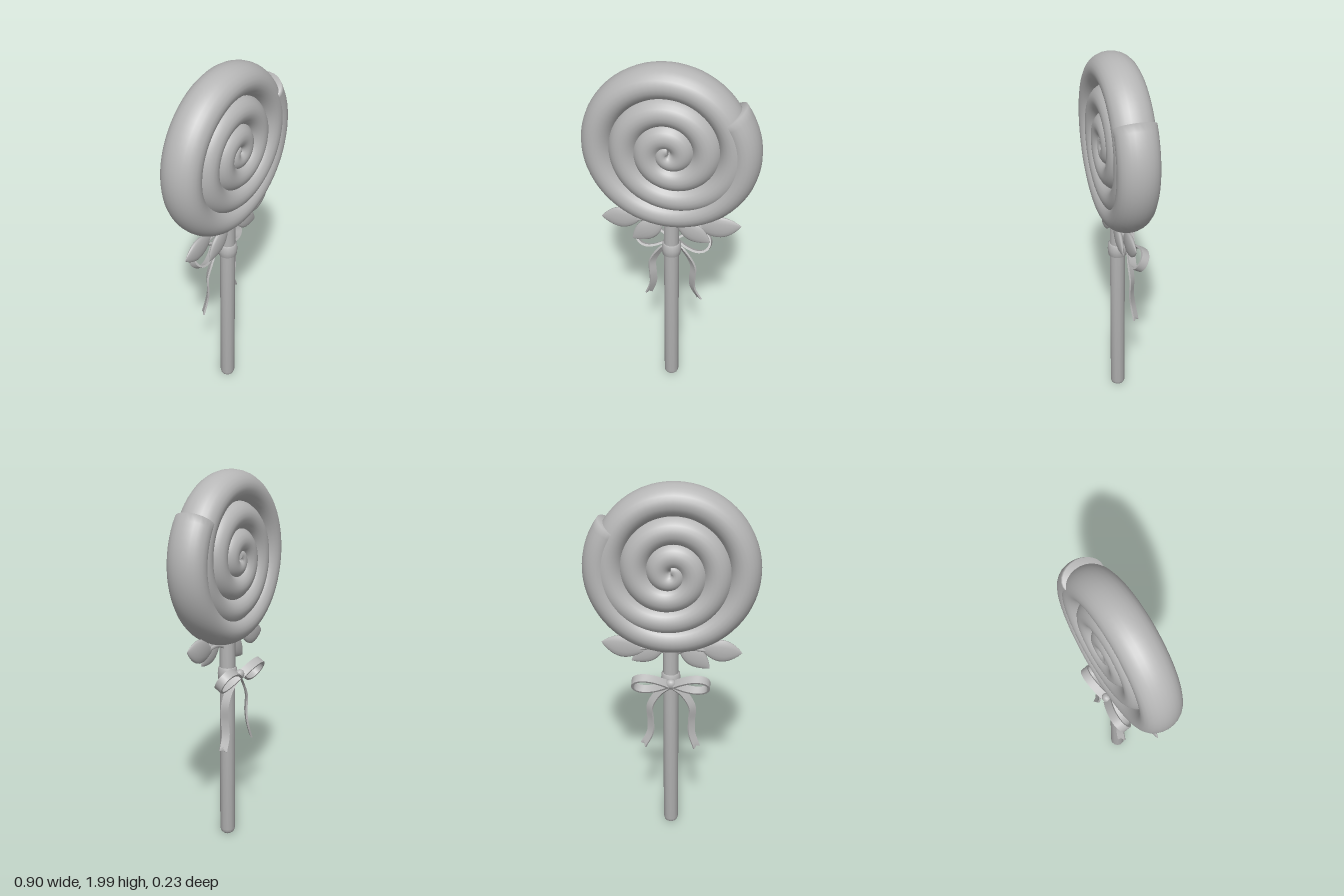
import * as THREE from 'three';
import { toCreasedNormals } from 'three/addons/utils/BufferGeometryUtils.js';

const V = (x, y, z) => new THREE.Vector3(x, y, z);
const grey = new THREE.MeshStandardMaterial({ color: 0xb6b6b6 });
grey.name = 'plain grey';

// Skin a row of cross-sections (each counterclockwise about the travel direction)
function skin(rings, capped = true) {
  const n = rings[0].length, pos = [], idx = [];
  rings.forEach((r) => r.forEach((p) => pos.push(p.x, p.y, p.z)));
  for (let i = 0; i < rings.length - 1; i++) {
    for (let j = 0; j < n; j++) {
      const k = (j + 1) % n, a = i * n + j, b = i * n + k;
      idx.push(a, b, a + n, b, b + n, a + n);
    }
  }
  if (capped) {
    const end = (ring, base, flip) => {
      const c = ring.reduce((s, p) => s.add(p), V(0, 0, 0)).divideScalar(n);
      const m = pos.length / 3;
      pos.push(c.x, c.y, c.z);
      for (let j = 0; j < n; j++) {
        const a = base + j, b = base + (j + 1) % n;
        if (flip) idx.push(m, b, a); else idx.push(m, a, b);
      }
    };
    end(rings[0], 0, true);
    end(rings[rings.length - 1], (rings.length - 1) * n, false);
  }
  const g = new THREE.BufferGeometry();
  g.setAttribute('position', new THREE.Float32BufferAttribute(pos, 3));
  g.setIndex(idx);
  g.computeVertexNormals();
  return g;
}

// Flat ribbon along points, with an optional notched end
function ribbon(points, widthDir, half, thick, notch = 0) {
  const last = points.length - 1;
  const section = [[1, -1], [1, 1], [0, 1], [-1, 1], [-1, -1], [0, -1]];
  const rings = points.map((p, i) => {
    const t = points[Math.min(i + 1, last)].clone().sub(points[Math.max(i - 1, 0)]).normalize();
    const w = widthDir.clone().addScaledVector(t, -widthDir.dot(t)).normalize();
    const nrm = t.clone().cross(w);
    return section.map(([a, b]) => {
      const q = p.clone().addScaledVector(w, a * half).addScaledVector(nrm, b * thick);
      return i === last && a === 0 ? q.addScaledVector(t, -notch) : q;
    });
  });
  return toCreasedNormals(skin(rings), 0.8);
}

// Linear lookup of the coil radius against the number of turns
const coil = [[0, 0.01], [0.5, 0.03], [1, 0.065], [1.5, 0.108], [1.75, 0.142], [2, 0.185], [2.25, 0.215],
  [2.5, 0.23], [2.75, 0.26], [3, 0.318], [3.25, 0.362], [3.5, 0.368], [4.1, 0.368]];
function coilRadius(u) {
  let i = 0;
  while (i < coil.length - 2 && u > coil[i + 1][0]) i++;
  const [u0, r0] = coil[i], [u1, r1] = coil[i + 1];
  return r0 + (r1 - r0) * (u - u0) / (u1 - u0);
}

function candyGeometry() {
  const rings = [], steps = 260, sides = 24;
  for (let i = 0; i <= steps; i++) {
    const u = 0.25 + 3.85 * i / steps, a = u * Math.PI * 2;
    const r = (coilRadius(u - 0.05) + coilRadius(u) + coilRadius(Math.min(u + 0.05, 4.1))) / 3;
    const grow = Math.min(1, 0.45 + 0.45 * u);
    const half = 0.082 * grow, deep = 0.104 * Math.min(1, 0.8 + 0.15 * u);
    const ring = [];
    for (let j = 0; j < sides; j++) {
      const b = j / sides * Math.PI * 2, rr = r + half * Math.sin(b);
      ring.push(V(rr * Math.cos(a), rr * Math.sin(a), deep * Math.cos(b)));
    }
    rings.push(ring);
  }
  return skin(rings);
}

// Pointed, flattened leaf from its base to its tip
function leafGeometry(length, width) {
  const profile = [];
  for (let i = 0; i <= 12; i++) {
    const t = i / 12;
    profile.push(new THREE.Vector2(width / 2 * Math.pow(Math.sin(Math.PI * t), 0.85), t * length));
  }
  profile[0].x = profile[12].x = 0;
  return new THREE.LatheGeometry(profile, 14).scale(1, 1, 0.3);
}

export function createModel() {
  const model = new THREE.Group();
  model.name = 'lollipop';
  const add = (name, geometry, x = 0, y = 0, z = 0) => {
    const mesh = new THREE.Mesh(geometry, grey);
    mesh.name = name;
    mesh.position.set(x, y, z);
    model.add(mesh);
    return mesh;
  };

  // Coiled candy
  add('candySpiral', candyGeometry(), 0, 1.55, 0.007);

  // Stick with a rounded foot
  const stick = [[0, 0], [0.022, 0.004], [0.036, 0.016], [0.041, 0.034], [0.041, 1.18], [0, 1.18]]
    .map(([x, y]) => new THREE.Vector2(x, y));
  add('stick', toCreasedNormals(new THREE.LatheGeometry(stick, 12), 0.7), 0.004, 0, 0.007);

  // Leaves under the candy: base x, base y, tip x, tip y, width, z
  [[-0.15, 1.11, -0.37, 1.09, 0.125, 0.015], [0.14, 1.09, 0.37, 1.135, 0.125, 0.015],
    [-0.03, 1.13, -0.2, 0.985, 0.115, 0.035], [0.03, 1.13, 0.215, 1.02, 0.11, 0.035]]
    .forEach(([x0, y0, x1, y1, w, z]) => {
      const dx = x1 - x0, dy = y1 - y0;
      const leaf = add('leaf', leafGeometry(Math.hypot(dx, dy), w), x0, y0, z);
      leaf.rotation.z = Math.atan2(-dx, dy);
    });
  // Leaf stems
  for (const s of [-1, 1]) {
    const path = new THREE.CatmullRomCurve3([V(0, 1.07, 0.01), V(s * 0.09, 1.105, 0.015), V(s * 0.18, 1.1, 0.015)]);
    add('leafStem', new THREE.TubeGeometry(path, 8, 0.01, 6));
  }

  // Ribbon band round the stick
  const band = [[0.04, -0.036], [0.049, -0.032], [0.052, 0], [0.049, 0.032], [0.04, 0.036]]
    .map(([x, y]) => new THREE.Vector2(x, y));
  add('ribbonBand', new THREE.LatheGeometry(band, 20), 0.004, 0.935, 0.007);

  // Knot behind the stick
  const knot = add('bowKnot', new THREE.SphereGeometry(1, 14, 10), 0, 0.935, -0.062);
  knot.scale.set(0.03, 0.032, 0.026);
  knot.rotation.x = -0.5;

  // Bow loops and tails on both sides
  for (const s of [-1, 1]) {
    const loop = [];
    for (let i = 0; i <= 32; i++) {
      const a = i / 32 * Math.PI * 2;
      const d = 0.072 * Math.sin(a) * Math.sin(a / 2);
      loop.push(V(s * (0.015 + 0.093 * (1 - Math.cos(a))), 0.937 + 0.85 * d, -0.07 - 0.5 * d));
    }
    add('bowLoop', ribbon(loop, V(0, 0.5, 0.85), 0.022, 0.006));

    const low = s < 0 ? V(-0.14, 0.545, -0.055) : V(0.15, 0.55, -0.055);
    const tail = new THREE.CatmullRomCurve3([V(s * 0.012, 0.925, -0.058), V(s * 0.065, 0.875, -0.045),
      V(s * 0.112, 0.79, -0.042), V(s * 0.11, 0.7, -0.04), V(s * 0.112, 0.63, -0.048), low]);
    add('bowTail', ribbon(tail.getPoints(28), V(s * 0.75, 0, 0.66), 0.021, 0.005, 0.025));
  }
  return model;
}
